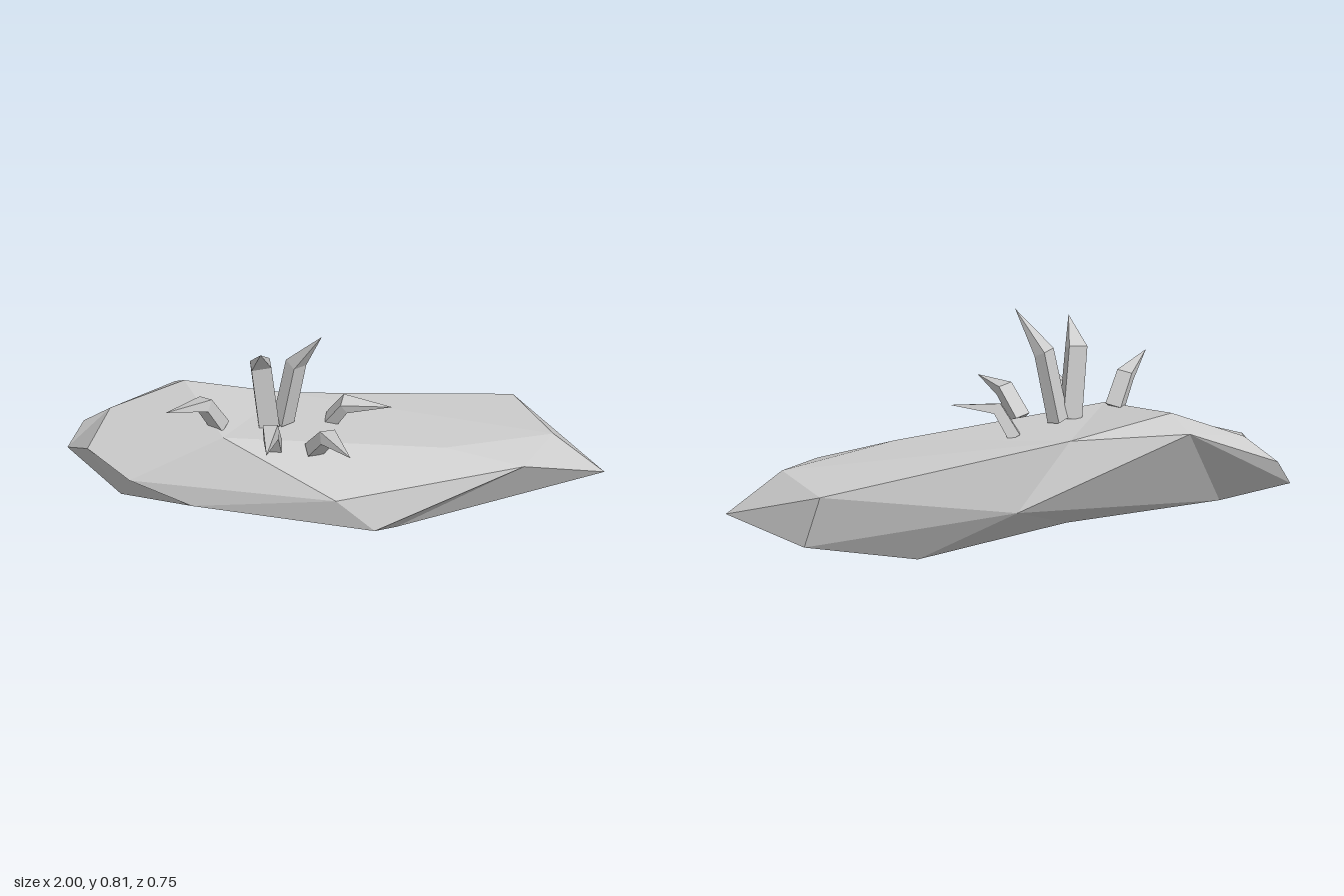
import * as THREE from 'three';

const V = (p) => new THREE.Vector3(...p);
const material = new THREE.MeshStandardMaterial({ color: 0xcccccc, flatShading: true });

// Boulder cross-sections from the pointed end to the blunt end, each running
// front top, top, back top, back low, bottom, front low
const pointedEnd = [1.0, 0.165, -0.09];
const bluntEnd = [-1, 0.19, -0.155];
const bluntFront = [-0.875, 0.32, 0.043];
const bluntTop = [-0.82, 0.375, -0.145];
const sections = [
  Array(6).fill(pointedEnd),
  [[0.68, 0.295, 0.073], [0.8, 0.32, -0.105], [0.675, 0.32, -0.375],
    [0.735, 0.128, -0.33], [0.35, 0, -0.2], [0.235, 0.017, 0.073]],
  [[0.02, 0.275, 0.272], [0.4, 0.355, 0.05], [-0.18, 0.412, -0.21],
    [0.01, 0.18, -0.265], [-0.2, 0.045, -0.06], [0.155, 0.148, 0.27]],
  [[-0.71, 0.267, 0.16], [-0.375, 0.435, 0.13], [-0.545, 0.483, -0.17],
    [-0.59, 0.43, -0.25], [-0.785, 0.08, -0.015], [-0.49, 0.19, 0.2]],
  [bluntFront, bluntTop, bluntTop, [-0.935, 0.288, -0.19], bluntEnd, bluntFront],
  Array(6).fill(bluntEnd),
];

// Which way each facet pair is split, one digit per side of each band
const splits = ['000000', '000111', '010001', '101000', '000000'];

// Blades: base, bend, tip, half width, half depth
const blades = [
  [[-0.225, 0.42, 0.018], [-0.245, 0.675, 0.035], [-0.235, 0.77, 0.136], 0.036, 0.022],
  [[-0.175, 0.42, -0.008], [-0.125, 0.67, 0.008], [-0.033, 0.812, 0.08], 0.03, 0.025],
  [[-0.395, 0.44, 0.055], [-0.44, 0.548, 0.093], [-0.55, 0.6, 0.235], 0.03, 0.023],
  [[-0.2, 0.4, 0.125], [-0.205, 0.495, 0.182], [-0.205, 0.527, 0.37], 0.027, 0.026],
  [[-0.06, 0.39, 0.125], [-0.01, 0.485, 0.19], [0.07, 0.5, 0.337], 0.03, 0.023],
  [[-0.01, 0.385, -0.07], [0.045, 0.482, -0.03], [0.21, 0.492, 0.005], 0.03, 0.022],
];

function facetGeometry(corners) {
  const geometry = new THREE.BufferGeometry().setFromPoints(corners);
  geometry.computeVertexNormals();
  return geometry;
}

// Triangles between neighbouring sections, leaving out those closed up at an end
function rockGeometry() {
  const corners = [];
  const triangle = (...t) => {
    if (new Set(t).size === 3) corners.push(...t.map(V));
  };
  splits.forEach((split, s) => {
    const [a, b] = [sections[s], sections[s + 1]];
    for (let i = 0; i < 6; i++) {
      const j = (i + 1) % 6;
      const flip = split[i] === '1';
      triangle(a[i], a[j], flip ? b[i] : b[j]);
      triangle(flip ? a[j] : a[i], b[j], b[i]);
    }
  });
  return facetGeometry(corners);
}

// Four-sided stem, mitred at the bend and drawn out to a point
function bladeGeometry(base, bend, tip, halfWidth, halfDepth) {
  const [b, m, t] = [base, bend, tip].map(V);
  const stem = m.clone().sub(b).normalize();
  const point = t.clone().sub(m).normalize();
  const side = stem.clone().cross(point).normalize();
  const ring = (centre, along, scale) => {
    const out = side.clone().cross(along).normalize();
    return [[1, 1], [-1, 1], [-1, -1], [1, -1]].map(([i, j]) => centre.clone()
      .addScaledVector(side, i * halfWidth * scale)
      .addScaledVector(out, j * halfDepth * scale));
  };
  const low = ring(b, stem, 1);
  const high = ring(m, stem.clone().add(point), 0.95);
  const corners = [low[0], low[2], low[1], low[0], low[3], low[2]];
  for (let i = 0; i < 4; i++) {
    const j = (i + 1) % 4;
    corners.push(low[i], low[j], high[j], low[i], high[j], high[i], high[i], high[j], t);
  }
  return facetGeometry(corners);
}

export function createModel() {
  const model = new THREE.Group();
  model.name = 'rockWithSprouts';

  const rock = new THREE.Mesh(rockGeometry(), material);
  rock.name = 'rock';
  model.add(rock);

  // Tuft of bent blades on top
  const tuft = new THREE.Group();
  tuft.name = 'grassTuft';
  const bladeMaterial = material.clone();
  bladeMaterial.side = THREE.DoubleSide;
  blades.forEach((blade, i) => {
    const mesh = new THREE.Mesh(bladeGeometry(...blade), bladeMaterial);
    mesh.name = `blade${i + 1}`;
    tuft.add(mesh);
  });
  model.add(tuft);
  return model;
}
